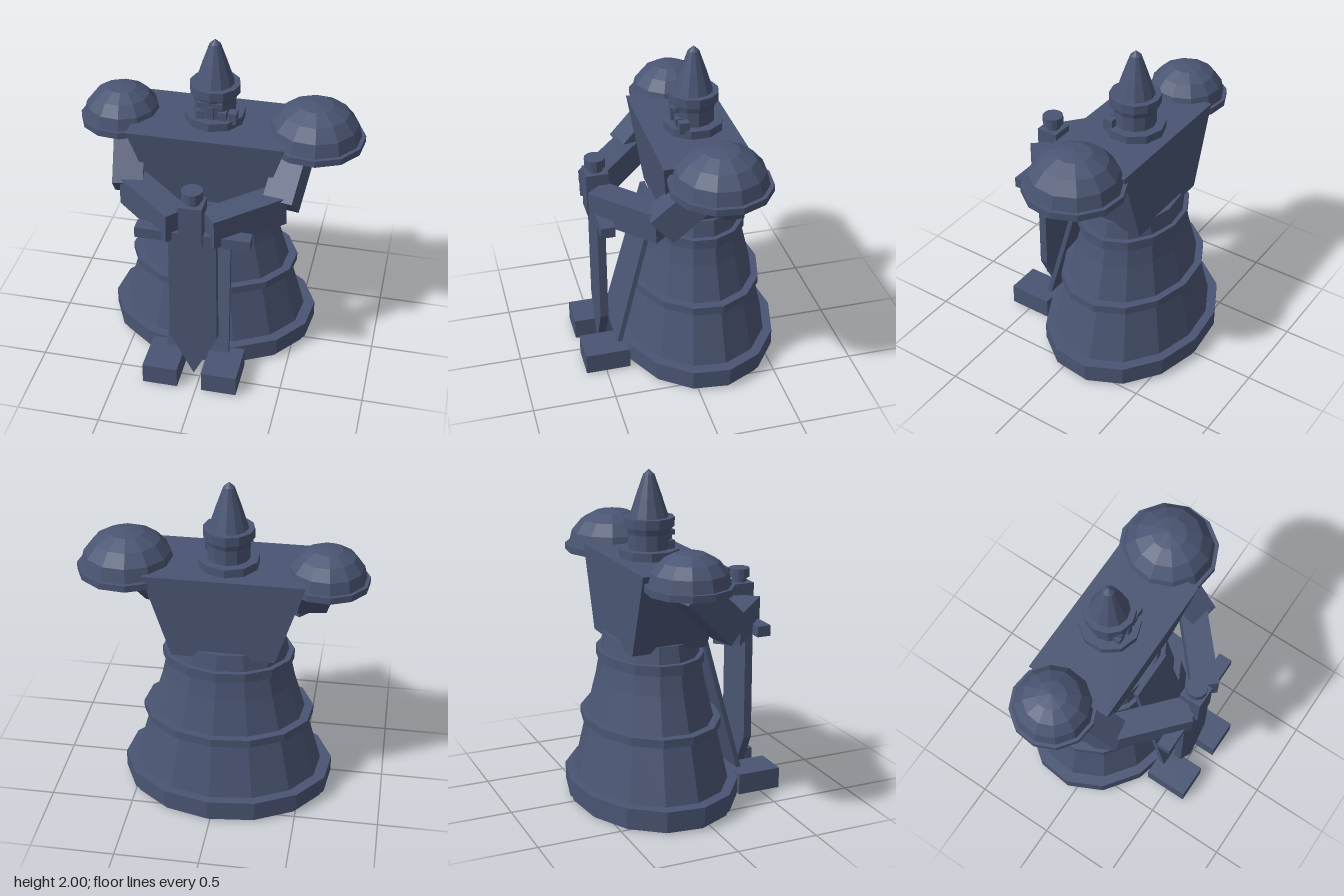
import * as THREE from 'three';

const CX = -0.04; // symmetry axis of the figure
const CZ = -0.12;

export function createModel() {
  const root = new THREE.Group();
  root.name = 'towerKnightPiece';
  const slate = new THREE.MeshStandardMaterial({ color: 0x4a5573, flatShading: true });
  slate.name = 'slateBlue';

  const add = (name, geo, x = 0, y = 0, z = 0) => {
    const m = new THREE.Mesh(geo, slate);
    m.name = name;
    m.position.set(x, y, z);
    root.add(m);
    return m;
  };
  // box given by its limits on each axis
  const block = (name, x0, x1, y0, y1, z0, z1) =>
    add(name, new THREE.BoxGeometry(x1 - x0, y1 - y0, z1 - z0), (x0 + x1) / 2, (y0 + y1) / 2, (z0 + z1) / 2);
  // faceted turned part from [radius, height] pairs
  const turned = (name, pts, sides, x = CX, z = CZ, phase = 0) =>
    add(name, new THREE.LatheGeometry(pts.map(p => new THREE.Vector2(...p)), sides, phase), x, 0, z);
  // square bar between two points
  const bar = (name, a, b, w, h) => {
    const p = new THREE.Vector3(...a), q = new THREE.Vector3(...b);
    const m = add(name, new THREE.BoxGeometry(w, h, p.distanceTo(q)));
    m.position.copy(p).add(q).multiplyScalar(0.5);
    m.lookAt(q);
    return m;
  };

  // Oval bell skirt with raised bands
  const phase = THREE.MathUtils.degToRad(175);
  const oval = (name, pts) => {
    turned(name, pts, 14, CX, CZ, phase).scale.z = 0.78;
  };
  const band = (name, r, y0, y1) => oval(name, [[0, y0], [r, y0], [r, y1], [0, y1]]);
  oval('skirt', [[0, 0.02], [0.6, 0.02], [0.575, 0.14], [0.475, 0.5], [0.4, 0.75], [0.34, 1.03], [0, 1.03]]);
  band('basePlate', 0.62, 0, 0.04);
  band('hemBand', 0.645, 0.035, 0.14);
  band('middleBand', 0.52, 0.48, 0.53);
  band('upperBand', 0.395, 0.87, 0.93);

  // Torso block tapering towards the waist
  const torso = new THREE.BoxGeometry(0.93, 0.5, 0.53);
  const tp = torso.attributes.position;
  for (let i = 0; i < tp.count; i++) {
    if (tp.getY(i) < 0) {
      tp.setX(i, tp.getX(i) * 0.65);
      if (tp.getZ(i) > 0) tp.setZ(i, 0.2);
    }
  }
  add('torso', torso, CX, 1.24, -0.09);

  // Domed shoulder guards
  const shoulder = (name, x, z, r, top) => {
    const h = top - 1.45, d = r * 0.92;
    const pts = [[0, 1.41], [r, 1.41], [r, 1.45], [d, 1.45]];
    for (const a of [22, 45, 68, 90]) {
      const t = THREE.MathUtils.degToRad(a);
      pts.push([a === 90 ? 0 : d * Math.cos(t), 1.45 + h * Math.sin(t)]);
    }
    turned(name, pts, 12, x, z, 0.15);
  };
  shoulder('rightShoulder', -0.605, -0.12, 0.25, 1.64);
  shoulder('leftShoulder', 0.555, -0.115, 0.297, 1.665);

  // Collar, head, brim and pointed helmet
  turned('collar', [[0, 1.48], [0.18, 1.48], [0.18, 1.54], [0, 1.54]], 10);
  turned('head', [[0, 1.53], [0.125, 1.53], [0.125, 1.63], [0.14, 1.68], [0, 1.68]], 12);
  turned('helmetBrim', [[0, 1.67], [0.15, 1.67], [0.15, 1.725], [0, 1.725]], 12);
  turned('helmetSpire', [[0, 1.72], [0.117, 1.72], [0.075, 1.85], [0.033, 1.97], [0, 2]], 12);
  block('brow', CX - 0.08, CX + 0.07, 1.62, 1.65, -0.05, 0.01);
  block('nose', CX - 0.018, CX + 0.018, 1.55, 1.63, -0.05, 0.018);
  for (const s of [-1, 1])
    block('cheek', CX + s * 0.065 - 0.025, CX + s * 0.065 + 0.025, 1.53, 1.59, -0.06, 0.005);
  block('visorHinge', 0.06, 0.11, 1.52, 1.59, -0.06, 0);

  // Arms folded forward to the sword, and feet
  for (const s of [-1, 1]) {
    const side = s > 0 ? 'left' : 'right';
    bar(side + 'UpperArm', [CX + s * 0.51, 1.41, -0.1], [CX + s * 0.455, 1.13, 0.19], 0.18, 0.19);
    bar(side + 'Forearm', [CX + s * 0.445, 1.125, 0.17], [CX + s * 0.087, 1.115, 0.485], 0.16, 0.18);
    const fx = CX + s * 0.182;
    block(side + 'Foot', fx - 0.107, fx + 0.107, 0.005, 0.135, 0.35, 0.625);
  }

  // Sloping front panel, wider at the hem
  const panel = new THREE.BoxGeometry(0.36, 0.92, 0.03);
  const pp = panel.attributes.position;
  for (let i = 0; i < pp.count; i++) {
    const low = pp.getY(i) < 0;
    pp.setX(i, Math.sign(pp.getX(i)) * (low ? 0.195 : 0.155));
    pp.setZ(i, pp.getZ(i) + (low ? 0.12 : -0.12));
  }
  add('frontPanel', panel, CX + 0.005, 0.6, 0.275);

  // Sword standing point down
  const blade = new THREE.Shape([[-0.14, 1.03], [-0.145, 0.31], [0, 0.02], [0.145, 0.31], [0.14, 1.03]]
    .map(p => new THREE.Vector2(...p)));
  add('swordBlade', new THREE.ExtrudeGeometry(blade, { depth: 0.05, bevelEnabled: false }), CX, 0, 0.45);
  block('swordGuard', -0.375, 0.3, 1.015, 1.08, 0.43, 0.515);
  block('swordGrip', CX - 0.068, CX + 0.068, 1.01, 1.275, 0.405, 0.54);
  turned('swordPommel', [[0, 1.27], [0.045, 1.27], [0.045, 1.305], [0.063, 1.305], [0.063, 1.36], [0, 1.36]],
    12, CX, 0.473);

  return root;
}
